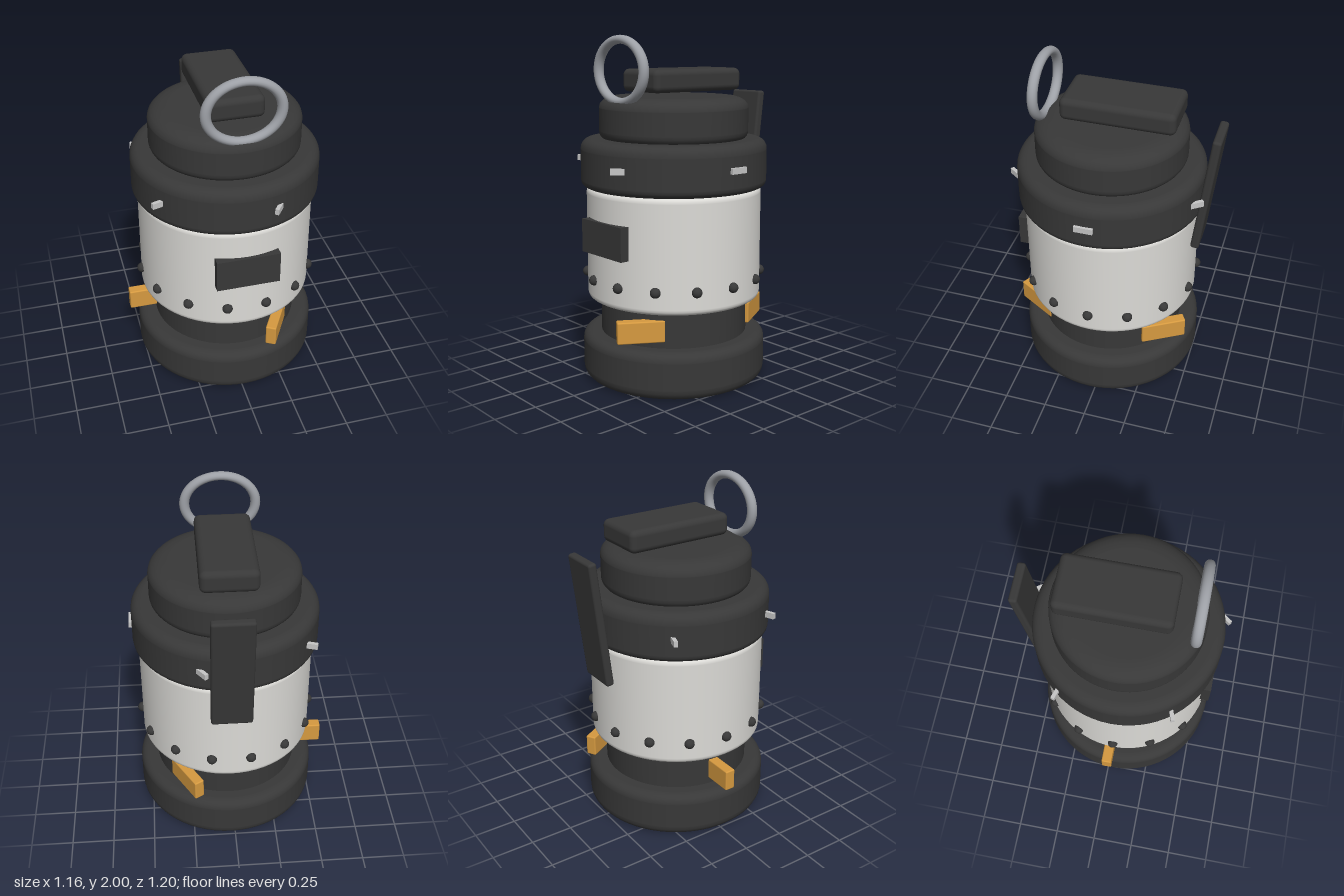
import * as THREE from 'three';
import { RoundedBoxGeometry } from 'three/addons/geometries/RoundedBoxGeometry.js';

const AXIS_X = 0.023, AXIS_Z = 0.033;

function material(name, color) {
  const m = new THREE.MeshStandardMaterial({ color });
  m.name = name;
  return m;
}

// Closed drum with rounded rims; each rim is [radial inset, height]
function drum(radius, y0, y1, bottomRim, topRim) {
  const pts = [new THREE.Vector2(0, y0)];
  const arc = ([a, b], y, dir, from, to) => {
    for (let i = 0; i <= 5; i++) {
      const t = THREE.MathUtils.lerp(from, to, i / 5) * Math.PI / 2;
      pts.push(new THREE.Vector2(radius - a + a * Math.sin(t), y - dir * (b - b * Math.cos(t))));
    }
  };
  pts.push(new THREE.Vector2(radius - bottomRim[0] - 0.004, y0));
  arc(bottomRim, y0, -1, 0, 1);
  pts.push(new THREE.Vector2(radius, y0 + bottomRim[1] + 0.004));
  pts.push(new THREE.Vector2(radius, y1 - topRim[1] - 0.004));
  arc(topRim, y1, 1, 1, 0);
  pts.push(new THREE.Vector2(radius - topRim[0] - 0.004, y1));
  pts.push(new THREE.Vector2(0, y1));
  return new THREE.LatheGeometry(pts, 64);
}

export function createModel() {
  const group = new THREE.Group();
  group.name = 'canister';
  const dark = material('charcoal', 0x383838);
  const white = material('off white', 0xdcdbd7);
  const amber = material('amber', 0xd69a40);
  const steel = material('steel', 0x9da0a6);
  const silver = material('light silver', 0xc6c6c6);

  function add(name, geometry, mat, x, y, z) {
    const mesh = new THREE.Mesh(geometry, mat);
    mesh.name = name;
    mesh.position.set(x, y, z);
    group.add(mesh);
    return mesh;
  }

  // Stacked round sections
  const sections = [
    ['base', 0.542, 0, 0.272, [0.055, 0.06], [0.055, 0.05], dark],
    ['neck', 0.433, 0.25, 0.5, [0.005, 0.005], [0.005, 0.005], dark],
    ['body', 0.511, 0.482, 1.138, [0.03, 0.03], [0.03, 0.03], white],
    ['collar', 0.542, 1.135, 1.417, [0.045, 0.04], [0.06, 0.06], dark],
    ['cap', 0.433, 1.41, 1.657, [0.04, 0.045], [0.11, 0.065], dark],
  ];
  for (const [name, r, y0, y1, bottom, top, mat] of sections) {
    add(name, drum(r, y0, y1, bottom, top), mat, AXIS_X, 0, AXIS_Z);
  }

  // Top bar and tilted safety lever
  add('topBar', new RoundedBoxGeometry(0.32, 0.13, 0.65, 3, 0.035), dark, 0.023, 1.747, -0.034);
  const lever = add('rearLever', new RoundedBoxGeometry(0.236, 0.75, 0.05, 3, 0.015), dark, 0.023, 1.294, -0.534);
  lever.rotation.x = -0.117;

  // Oval pull ring
  const ring = add('pullRing', new THREE.TorusGeometry(0.206, 0.029, 16, 64), steel, 0.024, 1.805, 0.415);
  ring.scale.y = 0.83;

  // Front plate
  add('frontPlate', new THREE.BoxGeometry(0.366, 0.192, 0.07), dark, 0.023, 0.875, 0.528);

  // Rivets around the body
  const rivet = new THREE.SphereGeometry(0.03, 16, 12);
  for (let i = 0; i < 14; i++) {
    const a = (i / 14) * Math.PI * 2;
    add('rivet', rivet, dark, AXIS_X + 0.513 * Math.cos(a), 0.615, AXIS_Z + 0.513 * Math.sin(a));
  }

  // Amber tabs at the neck, set askew
  const tab = new RoundedBoxGeometry(0.27, 0.126, 0.062, 2, 0.008);
  for (let i = 0; i < 3; i++) {
    const a = Math.PI + (i / 3) * Math.PI * 2;
    const p = a + 0.06;
    add('amberTab', tab, amber, AXIS_X + 0.465 * Math.cos(p), 0.372, AXIS_Z + 0.465 * Math.sin(p)).rotation.y = a;
  }

  // Small pins around the collar, each turned at twice its position angle
  const pin = new THREE.BoxGeometry(0.022, 0.034, 0.106);
  for (let i = 0; i < 5; i++) {
    const a = (i / 5) * Math.PI * 2;
    add('collarPin', pin, silver, AXIS_X + 0.546 * Math.cos(a), 1.277, AXIS_Z + 0.546 * Math.sin(a)).rotation.y = 2 * a;
  }

  return group;
}
